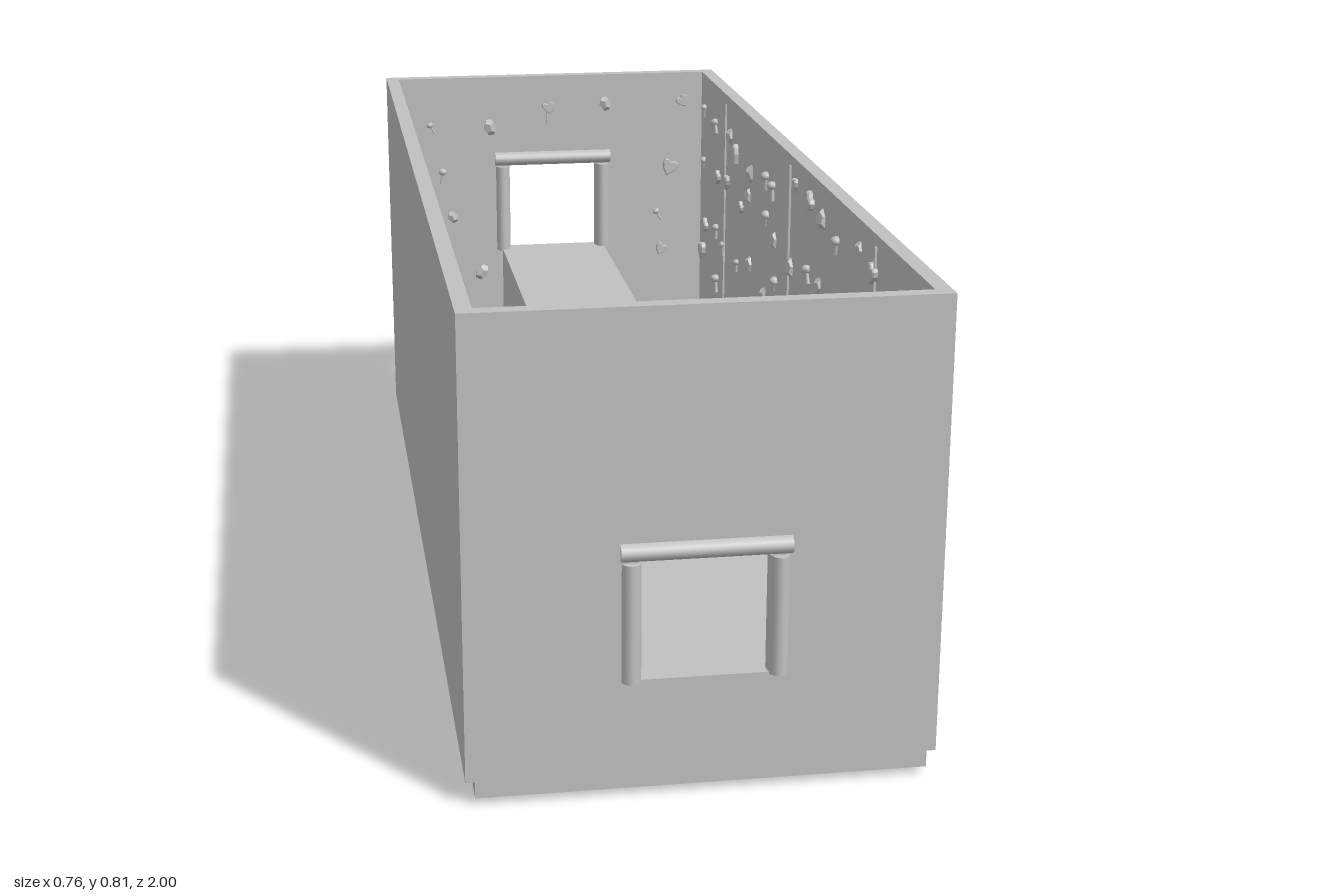
import * as THREE from 'three';

const stone = new THREE.MeshStandardMaterial({ color: 0xc0c0c0 });
stone.name = 'stone grey';

function add(parent, name, geometry, x = 0, y = 0, z = 0) {
  const mesh = new THREE.Mesh(geometry, stone);
  mesh.name = name;
  mesh.position.set(x, y, z);
  parent.add(mesh);
  return mesh;
}

// Box given by its limits on each axis
function block(parent, name, x0, x1, y0, y1, z0, z1) {
  return add(parent, name, new THREE.BoxGeometry(x1 - x0, y1 - y0, z1 - z0),
    (x0 + x1) / 2, (y0 + y1) / 2, (z0 + z1) / 2);
}

function seeded(seed) {
  return () => {
    seed = (seed * 16807) % 2147483647;
    return seed / 2147483647;
  };
}

// End wall with a doorway, framed by rounded posts and a lintel
function endWall(parent, name, side, doorY) {
  const shape = new THREE.Shape([[-0.38, 0.04], [0.38, 0.04], [0.38, 0.805], [-0.38, 0.805]]
    .map(p => new THREE.Vector2(...p)));
  shape.holes.push(new THREE.Path([[-0.105, doorY], [-0.105, doorY + 0.2], [0.105, doorY + 0.2], [0.105, doorY]]
    .map(p => new THREE.Vector2(...p))));
  const geometry = new THREE.ExtrudeGeometry(shape, { depth: 0.027, bevelEnabled: false });
  add(parent, name + 'Wall', geometry, 0, 0, side > 0 ? 0.959 : -0.986);

  const frame = new THREE.Group();
  frame.name = name + 'DoorFrame';
  frame.position.set(0, doorY, side * 0.972);
  frame.scale.z = 1.6;
  for (const s of [-1, 1]) {
    add(frame, 'doorPost', new THREE.CylinderGeometry(0.0175, 0.0175, 0.2, 24), s * 0.1175, 0.097, 0);
  }
  add(frame, 'lintel', new THREE.CylinderGeometry(0.0175, 0.0175, 0.27, 24), 0, 0.2145, 0).rotation.z = Math.PI / 2;
  parent.add(frame);
}

// Small reliefs, all lying in the xy plane and standing out towards +z
function heartGeometry() {
  const s = new THREE.Shape();
  s.moveTo(0, -0.02);
  s.bezierCurveTo(-0.03, 0.004, -0.016, 0.026, 0, 0.01);
  s.bezierCurveTo(0.016, 0.026, 0.03, 0.004, 0, -0.02);
  return new THREE.ExtrudeGeometry(s, { depth: 0.008, bevelEnabled: true, bevelThickness: 0.003, bevelSize: 0.002, bevelSegments: 1, curveSegments: 5 });
}
const heart = heartGeometry();
const pebble = new THREE.DodecahedronGeometry(0.02).scale(0.9, 1.1, 0.75);
const knob = new THREE.SphereGeometry(0.011, 10, 7);
const stem = new THREE.CylinderGeometry(0.003, 0.004, 0.026, 6);

function relief(parent, kind, x, y, turn, size) {
  const g = new THREE.Group();
  g.name = ['pebble', 'heart', 'mushroom'][kind];
  g.position.set(x, y, 0);
  g.rotation.z = turn;
  g.scale.setScalar(size);
  if (kind === 0) add(g, 'stoneBody', pebble);
  if (kind === 1) add(g, 'heartBody', heart);
  if (kind === 2) {
    add(g, 'cap', knob, 0, 0.012, 0.005).scale.y = 0.8;
    add(g, 'stem', stem, 0, -0.006, 0.004);
  }
  parent.add(g);
}

// Inner wall lining: scattered reliefs and narrow panel joints
function lining(parent, name, width, seams, x, z, turn, seed, doorY) {
  const g = new THREE.Group();
  g.name = name;
  g.position.set(x, 0, z);
  g.rotation.y = turn;
  const random = seeded(seed);
  const columns = Math.round(width / 0.13), rows = 6;
  for (let i = 0; i < columns; i++) {
    for (let j = 0; j < rows; j++) {
      const px = ((i + 0.2 + 0.6 * random()) / columns - 0.5) * width;
      const py = 0.05 + 0.735 * (j + 0.2 + 0.6 * random()) / rows;
      const kind = Math.floor(random() * 3);
      const angle = (random() - 0.5) * 1.4, size = 0.65 + 0.4 * random();
      const inDoor = doorY !== undefined && Math.abs(px) < 0.165 && py > doorY - 0.03 && py < doorY + 0.26;
      const inPlatform = doorY !== undefined && Math.abs(px) < 0.14 && py < doorY;
      if (!inDoor && !inPlatform) relief(g, kind, px, py, angle, size);
    }
  }
  for (const s of seams) {
    const low = doorY !== undefined ? doorY + 0.24 : 0.04;
    block(g, 'panelJoint', s - 0.003, s + 0.003, low, 0.785, -0.002, 0.004);
  }
  parent.add(g);
}

export function createModel() {
  const room = new THREE.Group();
  room.name = 'room';

  // Shell
  block(room, 'floor', -0.365, 0.365, 0.012, 0.04, -0.957, 0.986);
  for (const s of [-1, 1]) {
    add(room, 'sideWall', new THREE.BoxGeometry(0.027, 0.765, 1.918), s * 0.3665, 0.4225, 0);
  }
  endWall(room, 'front', 1, 0.198);
  endWall(room, 'back', -1, 0.398);

  // Platforms inside the doors
  block(room, 'frontPlatform', -0.138, 0.138, 0.04, 0.198, 0.65, 0.959);
  block(room, 'backPlatform', -0.12, 0.12, 0.04, 0.398, -0.959, -0.255);

  // Ladder up to the back platform
  const ladder = new THREE.Group();
  ladder.name = 'ladder';
  for (const x of [-0.025, 0.003]) {
    block(ladder, 'rail', x - 0.002, x + 0.002, 0.002, 0.398, -0.256, -0.25);
  }
  for (let i = 0; i < 32; i++) {
    const y = 0.0025 + i * 0.0125;
    block(ladder, 'rung', -0.025, 0.003, y - 0.0025, y + 0.0025, -0.255, -0.251);
  }
  room.add(ladder);

  // Decorated inner faces
  const quarter = Math.PI / 2;
  lining(room, 'rightLining', 1.9, [-0.66, -0.02, 0.62], -0.353, 0, quarter, 71, undefined);
  lining(room, 'leftLining', 1.9, [-0.66, -0.02, 0.62], 0.353, 0, -quarter, 1234, undefined);
  lining(room, 'backLining', 0.69, [-0.01], 0, -0.959, 0, 555, 0.398);
  lining(room, 'frontLining', 0.69, [], 0, 0.959, Math.PI, 909, 0.198);
  return room;
}
